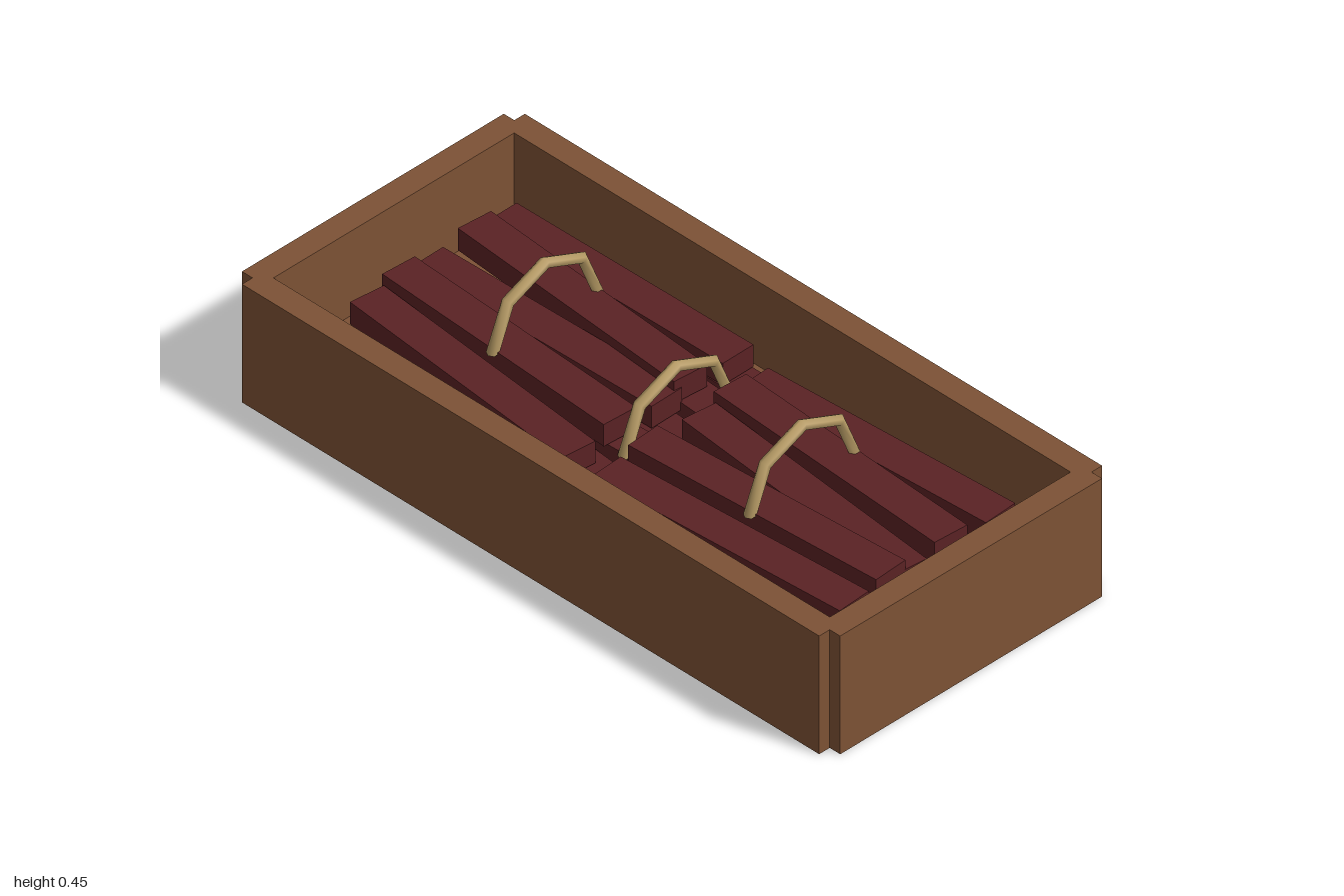
import * as THREE from 'three';

const material = (name, color) => {
  const m = new THREE.MeshStandardMaterial({ color });
  m.name = name;
  return m;
};

export function createModel() {
  const model = new THREE.Group();
  model.name = 'crateOfBundledBars';
  const crateWood = material('crateWood', 0x7d5235);
  const barRed = material('barRed', 0x5a2224);
  const rope = material('rope', 0xb99d66);
  rope.side = THREE.DoubleSide;

  const add = (parent, name, geometry, mat, x, y, z) => {
    const mesh = new THREE.Mesh(geometry, mat);
    mesh.name = name;
    mesh.position.set(x, y, z);
    parent.add(mesh);
    return mesh;
  };

  // Open crate; the walls leave a small notch at each corner
  const crate = new THREE.Group();
  crate.name = 'crate';
  model.add(crate);
  add(crate, 'floor', new THREE.BoxGeometry(1.93, 0.1, 0.87), crateWood, 0, 0.05, 0);
  for (const s of [-1, 1]) {
    add(crate, s > 0 ? 'frontWall' : 'backWall',
      new THREE.BoxGeometry(1.93, 0.35, 0.07), crateWood, 0, 0.175, s * 0.435);
    add(crate, s > 0 ? 'leftWall' : 'rightWall',
      new THREE.BoxGeometry(0.07, 0.35, 0.87), crateWood, s * 0.965, 0.175, 0);
  }

  // Each bundle: five skewed bars given by the z of their two ends, and a rope handle.
  // Every second bar sits a little higher.
  const bundles = [
    { name: 'rightBundle', x: -0.44, top: 0.243, ropeZ: -0.015,
      bars: [[-0.26, -0.267], [-0.17, -0.11], [-0.016, -0.03], [0.082, 0.125], [0.188, 0.262]] },
    { name: 'middleBundle', x: 0, top: 0.175, ropeZ: -0.015,
      bars: [[-0.265, -0.268], [-0.15, -0.1], [-0.03, 0.01], [0.125, 0.09], [0.195, 0.262]] },
    { name: 'leftBundle', x: 0.435, top: 0.243, ropeZ: 0,
      bars: [[-0.228, -0.27], [-0.15, -0.105], [-0.045, 0.03], [0.14, 0.095], [0.262, 0.216]] },
  ];
  const length = 0.785;
  const barGeometry = new THREE.BoxGeometry(length, 0.065, 0.103);
  const ropeGeometry = new THREE.TorusGeometry(0.174, 0.016, 6, 4, Math.PI);
  ropeGeometry.rotateY(Math.PI / 2);

  for (const b of bundles) {
    const bundle = new THREE.Group();
    bundle.name = b.name;
    model.add(bundle);
    b.bars.forEach(([z0, z1], i) => {
      const y = b.top - 0.0325 + (i % 2) * 0.027;
      const bar = add(bundle, 'bar', barGeometry, barRed, b.x, y, (z0 + z1) / 2);
      bar.rotation.y = -Math.atan2(z1 - z0, length);
    });
    add(bundle, 'ropeHandle', ropeGeometry, rope, b.x, b.top + 0.02, b.ropeZ);
  }
  return model;
}
